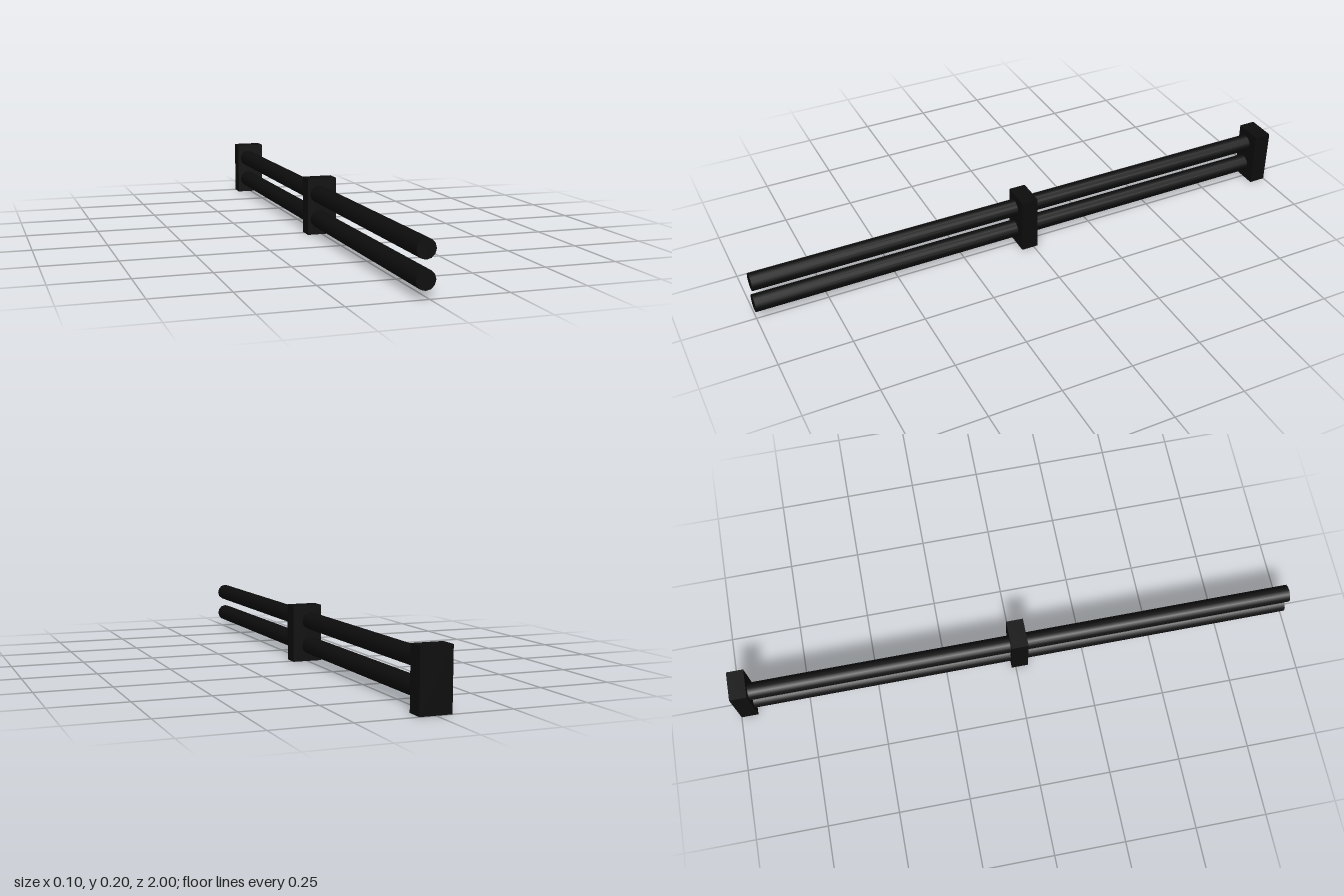
import * as THREE from 'three';

export function createModel() {
  const group = new THREE.Group();
  const black = new THREE.MeshStandardMaterial({ color: 0x0d0d0d });
  black.name = 'black';

  // Two parallel tubes running the full length, slightly off the centre line
  const tubeGeometry = new THREE.CylinderGeometry(0.031, 0.031, 1.96, 12).rotateX(Math.PI / 2);
  for (const [name, y] of [['upperTube', 0.145], ['lowerTube', 0.056]]) {
    const tube = new THREE.Mesh(tubeGeometry, black);
    tube.name = name;
    tube.position.set(-0.012, y, 0.02);
    group.add(tube);
  }

  // Rectangular clamps holding the tubes at the middle and the back end
  const clampGeometry = new THREE.BoxGeometry(0.104, 0.2, 0.06);
  for (const [name, z] of [['middleClamp', 0.015], ['backClamp', -0.97]]) {
    const clamp = new THREE.Mesh(clampGeometry, black);
    clamp.name = name;
    clamp.position.set(0, 0.1, z);
    group.add(clamp);
  }
  return group;
}
